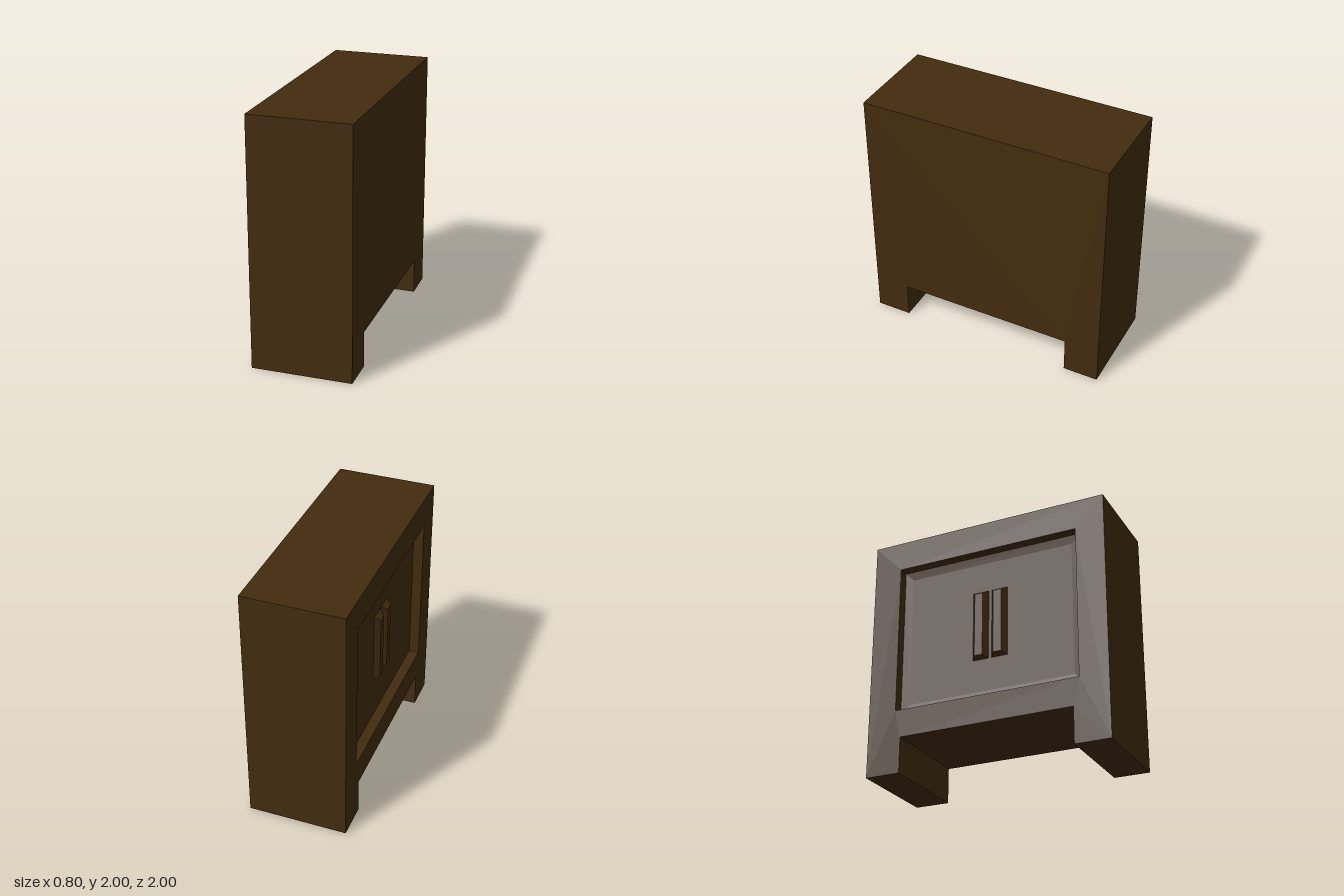
import * as THREE from 'three';

// Parts are drawn in a side plane (local x = depth along z, y = up, local z = outward),
// then turned so that outward points to -x.
const turn = (geometry) => geometry.rotateY(-Math.PI / 2);

// Cabinet side outline: a square with a notch that leaves two feet
function sideOutline() {
  return new THREE.Shape([
    [-1, 0], [-0.715, 0], [-0.715, 0.29], [0.715, 0.29],
    [0.715, 0], [1, 0], [1, 2], [-1, 2],
  ].map(([u, v]) => new THREE.Vector2(u, v)));
}

const corners = ([u0, u1, v0, v1], w) => [[u0, v0, w], [u1, v0, w], [u1, v1, w], [u0, v1, w]];

// Sloping band between two rectangles [u0, u1, v0, v1], with an end face
function taperedPanel(base, w0, end, w1) {
  const a = corners(base, w0);
  const b = corners(end, w1);
  const points = [];
  for (let i = 0; i < 4; i++) {
    const j = (i + 1) % 4;
    points.push(a[i], a[j], b[j], a[i], b[j], b[i]);
  }
  points.push(b[0], b[1], b[2], b[0], b[2], b[3]);
  const geometry = new THREE.BufferGeometry();
  geometry.setAttribute('position', new THREE.Float32BufferAttribute(points.flat(), 3));
  geometry.computeVertexNormals();
  return turn(geometry);
}

export function createModel() {
  const model = new THREE.Group();
  model.name = 'cabinet';
  const wood = new THREE.MeshStandardMaterial({ color: 0x432c0f });
  wood.name = 'dark wood';

  const add = (name, geometry) => {
    const mesh = new THREE.Mesh(geometry, wood);
    mesh.name = name;
    model.add(mesh);
    return mesh;
  };

  const outer = 0.4;
  const ledge = 0.083;   // depth of the recess
  const panel = 0.093;   // depth of the door panel
  const opening = [-0.765, 0.765, 0.515, 1.755];

  // Solid body with feet
  const body = turn(new THREE.ExtrudeGeometry(sideOutline(), { depth: 2 * outer - panel - 0.005, bevelEnabled: false }));
  add('body', body.translate(outer, 0, 0));

  // Frame around the recessed door
  const frameShape = sideOutline();
  const [u0, u1, v0, v1] = opening;
  frameShape.holes.push(new THREE.Path([[u0, v0], [u0, v1], [u1, v1], [u1, v0]]
    .map(([u, v]) => new THREE.Vector2(u, v))));
  const frame = turn(new THREE.ExtrudeGeometry(frameShape, { depth: panel + 0.005, bevelEnabled: false }));
  add('doorFrame', frame.translate(-outer + panel + 0.005, 0, 0));

  // Door panel with a shallow bevelled border
  const rim = 0.07;
  add('doorPanel', taperedPanel(opening, outer - ledge,
    [u0 + rim, u1 - rim, v0 + rim, v1 - rim], outer - panel));

  // Pair of tapered handles
  for (const [name, centre] of [['backHandle', -0.08], ['frontHandle', 0.08]]) {
    add(name, taperedPanel([centre - 0.067, centre + 0.067, 0.853, 1.435], outer - panel,
      [centre - 0.034, centre + 0.034, 0.875, 1.405], outer - 0.048));
  }
  return model;
}
